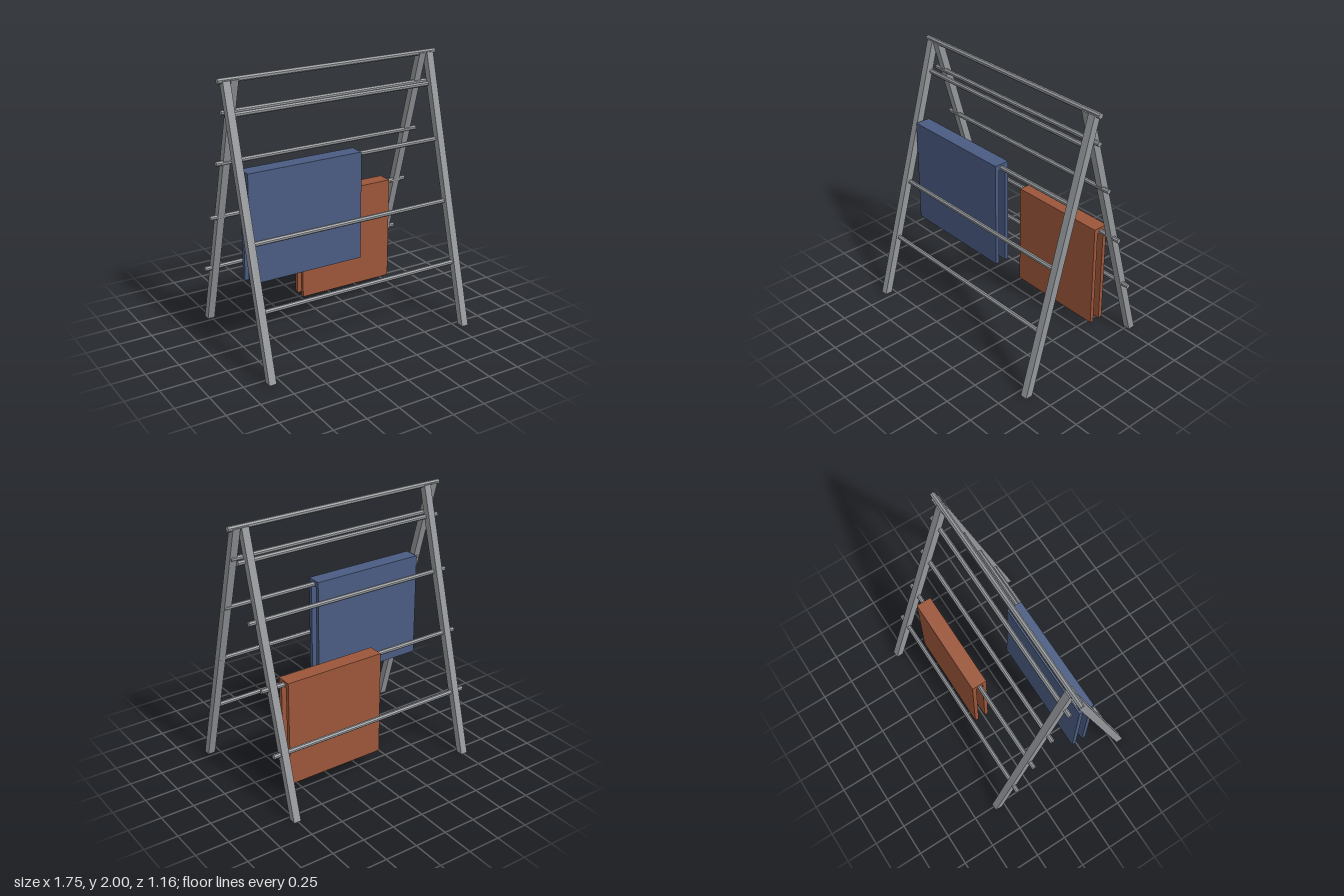
import * as THREE from 'three';

const TOP = 1.98;      // height of the top bar and leg tops
const SPREAD = 0.553;  // z of the feet

export function createModel() {
  const metal = new THREE.MeshStandardMaterial({ color: 0x94979b, flatShading: true });
  metal.name = 'grey metal';
  const blue = new THREE.MeshStandardMaterial({ color: 0x4a5c82, flatShading: true });
  blue.name = 'blue cloth';
  const rust = new THREE.MeshStandardMaterial({ color: 0x9c563a, flatShading: true });
  rust.name = 'rust cloth';

  const model = new THREE.Group();
  model.name = 'dryingRack';

  function add(name, geometry, material, x, y, z) {
    const mesh = new THREE.Mesh(geometry, material);
    mesh.name = name;
    mesh.position.set(x, y, z);
    model.add(mesh);
    return mesh;
  }

  // Leaning leg: a box sheared in z so that both ends stay level
  function leg(name, x, side) {
    const g = new THREE.BoxGeometry(0.055, TOP, 0.056);
    g.translate(0, TOP / 2, 0);
    const p = g.attributes.position;
    for (let i = 0; i < p.count; i++) {
      p.setZ(i, p.getZ(i) + side * SPREAD * (1 - p.getY(i) / TOP));
    }
    g.computeVertexNormals();
    add(name, g, metal, x, 0, 0);
  }

  // Round rod along x
  function rod(name, length, radius, y, z) {
    const g = new THREE.CylinderGeometry(radius, radius, length, 8);
    g.rotateY(Math.PI / 8);
    g.rotateZ(Math.PI / 2);
    add(name, g, metal, 0, y, z);
  }

  // Cloth folded over a rung: an upside-down U extruded along x
  function cloth(name, material, x0, x1, y0, y1, z) {
    const outer = 0.0585, inner = 0.028, fold = 0.045;
    const s = new THREE.Shape();
    s.moveTo(-outer, y0);
    s.lineTo(-inner, y0);
    s.lineTo(-inner, y1 - fold);
    s.lineTo(inner, y1 - fold);
    s.lineTo(inner, y0);
    s.lineTo(outer, y0);
    s.lineTo(outer, y1);
    s.lineTo(-outer, y1);
    s.closePath();
    const g = new THREE.ExtrudeGeometry(s, { depth: x1 - x0, bevelEnabled: false });
    g.translate(0, 0, -(x1 - x0) / 2);
    g.rotateY(Math.PI / 2);
    add(name, g, material, (x0 + x1) / 2, 0, z);
  }

  // Two leaning frames; the back one is narrower and nests inside the front one
  const rungs = [[1.752, 0.044], [1.36, 0.156], [0.915, 0.287], [0.47, 0.418]];
  for (const [frame, side, legX] of [['front', 1, 0.8175], ['back', -1, 0.755]]) {
    leg(frame + 'LegLeft', legX, side);
    leg(frame + 'LegRight', -legX, side);
    for (const [y, z] of rungs) rod(frame + 'Rung', 1.67, 0.018, y, side * z);
  }
  rod('topBar', 1.746, 0.02, TOP, 0);

  // Hanging cloths
  cloth('frontCloth', blue, -0.778, 0.114, 0.585, 1.39, 0.155);
  cloth('backCloth', rust, -0.116, 0.658, 0.14, 0.945, -0.287);

  return model;
}
